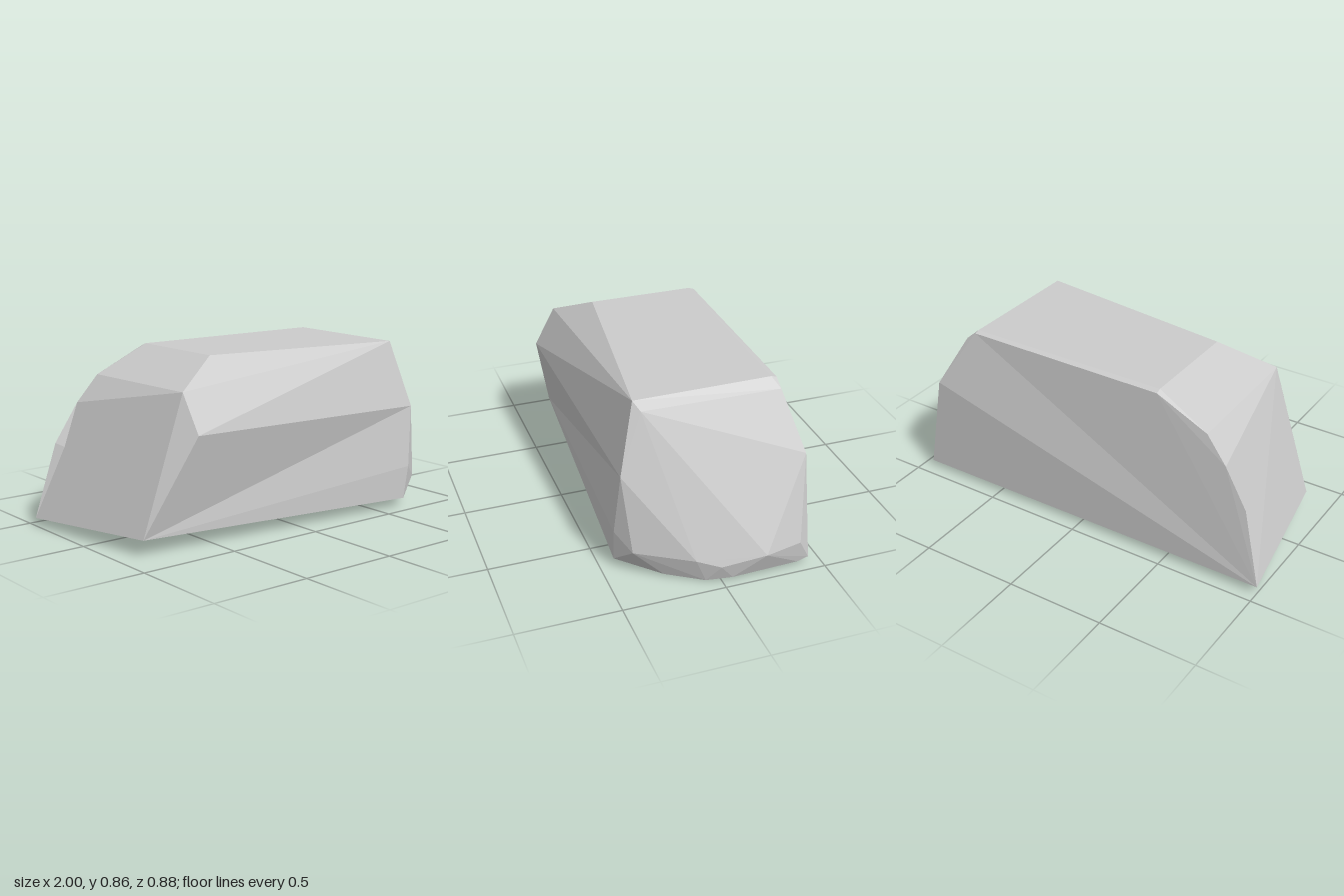
import * as THREE from 'three';
import { ConvexGeometry } from 'three/addons/geometries/ConvexGeometry.js';

// Corners of the boulder as [x, y, z].
const backLeft = [-1, 0.04, -0.44];
const backShoulder = [-0.78, 0.6, -0.385];
const topLeftBack = [-0.67, 0.73, -0.37];

// Corners that both halves of the stone have in common
const shared = [
  [-0.88, 0.08, 0.32], backLeft, [0.73, 0.52, 0.415],
  [0.65, 0.855, 0.33], [0.65, 0.86, -0.34], [0.65, 0.853, -0.367], [0.7, 0.815, -0.37],
  [-0.4, 0.863, 0.19],
  [0.68, 0.81, 0.3], [0.78, 0.52, 0.23], [0.88, 0.3, 0.1],
  [0.93, 0.125, 0.12], [0.965, 0.09, 0.01], [1, 0.13, -0.2], [0.97, 0.14, -0.38],
  [0.82, 0.01, 0.24], [0.92, 0.002, 0.07], [0.9, 0, 0.05],
  [0.955, 0.015, -0.05], [0.95, 0.02, -0.38],
];

// Corners that only the upper left half reaches
const upperLeft = [
  [-0.65, 0.55, 0.435], [-0.66, 0.735, 0.33], topLeftBack, backShoulder,
  [-0.4, 0.863, -0.34], [-0.4, 0.853, -0.367],
];

// Corners that only the lower right half reaches
const lowerRight = [
  [0.67, 0.043, 0.435], [0.695, 0.21, 0.44], [0.79, 0.14, 0.38],
  [0.85, 0.545, -0.44], [0.945, 0.032, -0.437],
];

// Thin rib along the back edge of the left end
const rib = [backLeft, backShoulder, topLeftBack, [-0.9, 0.41, -0.4], [-0.7, 0.3, -0.3]];

export function createModel() {
  const group = new THREE.Group();
  group.name = 'boulder';
  const stone = new THREE.MeshStandardMaterial({ color: 0xcccccc, flatShading: true });

  // Overlapping faceted blocks leave shallow valleys across the front and back
  const addBlock = (name, corners) => {
    const points = corners.map((c) => new THREE.Vector3(...c));
    const block = new THREE.Mesh(new ConvexGeometry(points), stone);
    block.name = name;
    group.add(block);
  };
  addBlock('upperRock', [...shared, ...upperLeft]);
  addBlock('lowerRock', [...shared, ...lowerRight]);
  addBlock('endRib', rib);
  return group;
}
